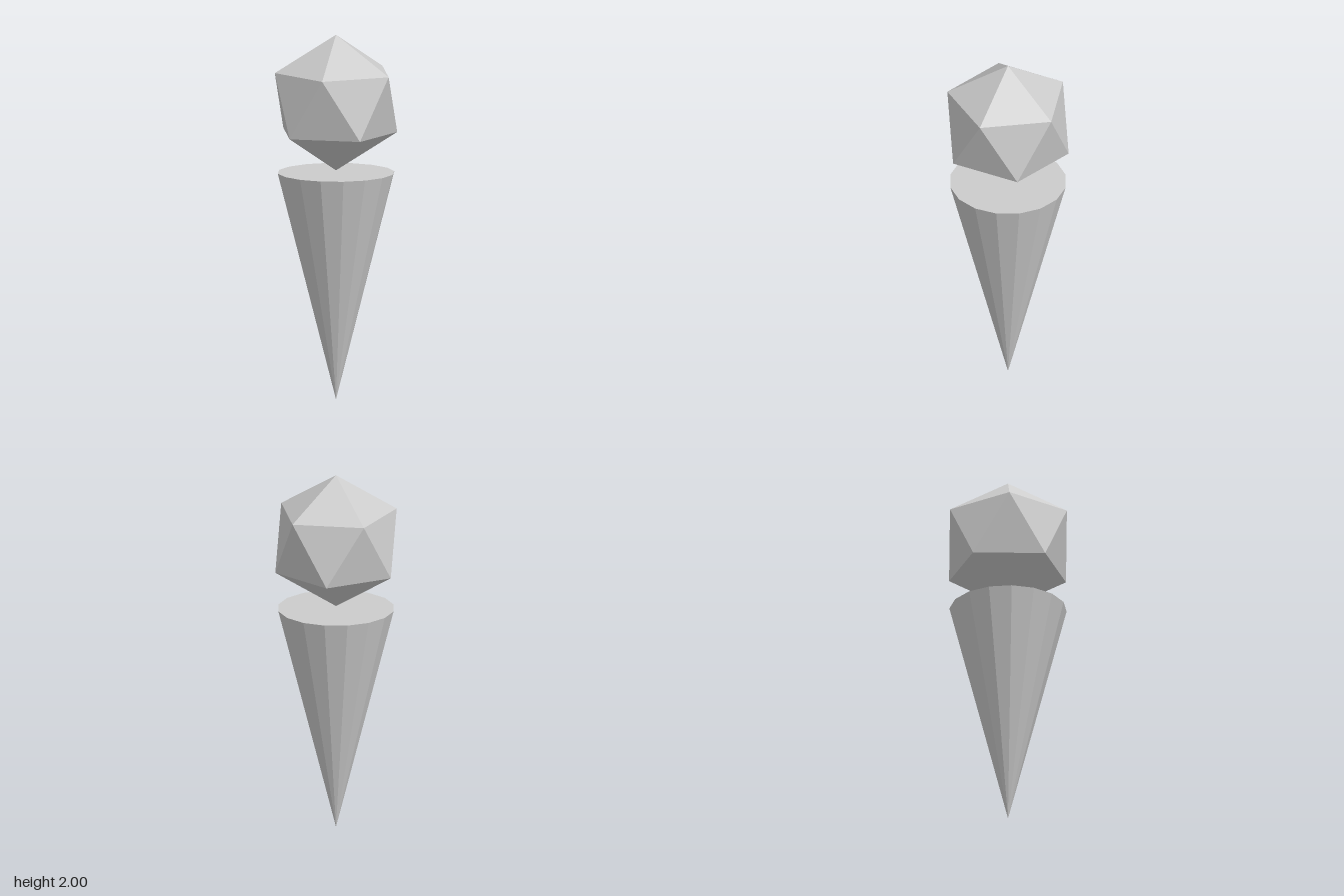
import * as THREE from 'three';

export function createModel() {
  const group = new THREE.Group();
  const material = new THREE.MeshStandardMaterial({ color: 0xcccccc, flatShading: true });

  const add = (name, geometry, y) => {
    const mesh = new THREE.Mesh(geometry, material);
    mesh.name = name;
    mesh.position.y = y;
    group.add(mesh);
  };

  // Cone: sixteen flat sides, point down, closed on top, a flat side facing front
  const coneHeight = 1.245;
  add('cone', new THREE.CylinderGeometry(0.318, 0, coneHeight, 16, 1, false, Math.PI / 16, Math.PI * 2), coneHeight / 2);

  // Scoop: icosahedron turned to stand on a corner, hovering just above the cone
  const radius = 0.372;
  const golden = (1 + Math.sqrt(5)) / 2;
  const scoop = new THREE.IcosahedronGeometry(radius, 0);
  scoop.rotateZ(-Math.atan(1 / golden));
  add('scoop', scoop, 2 - radius);

  return group;
}
